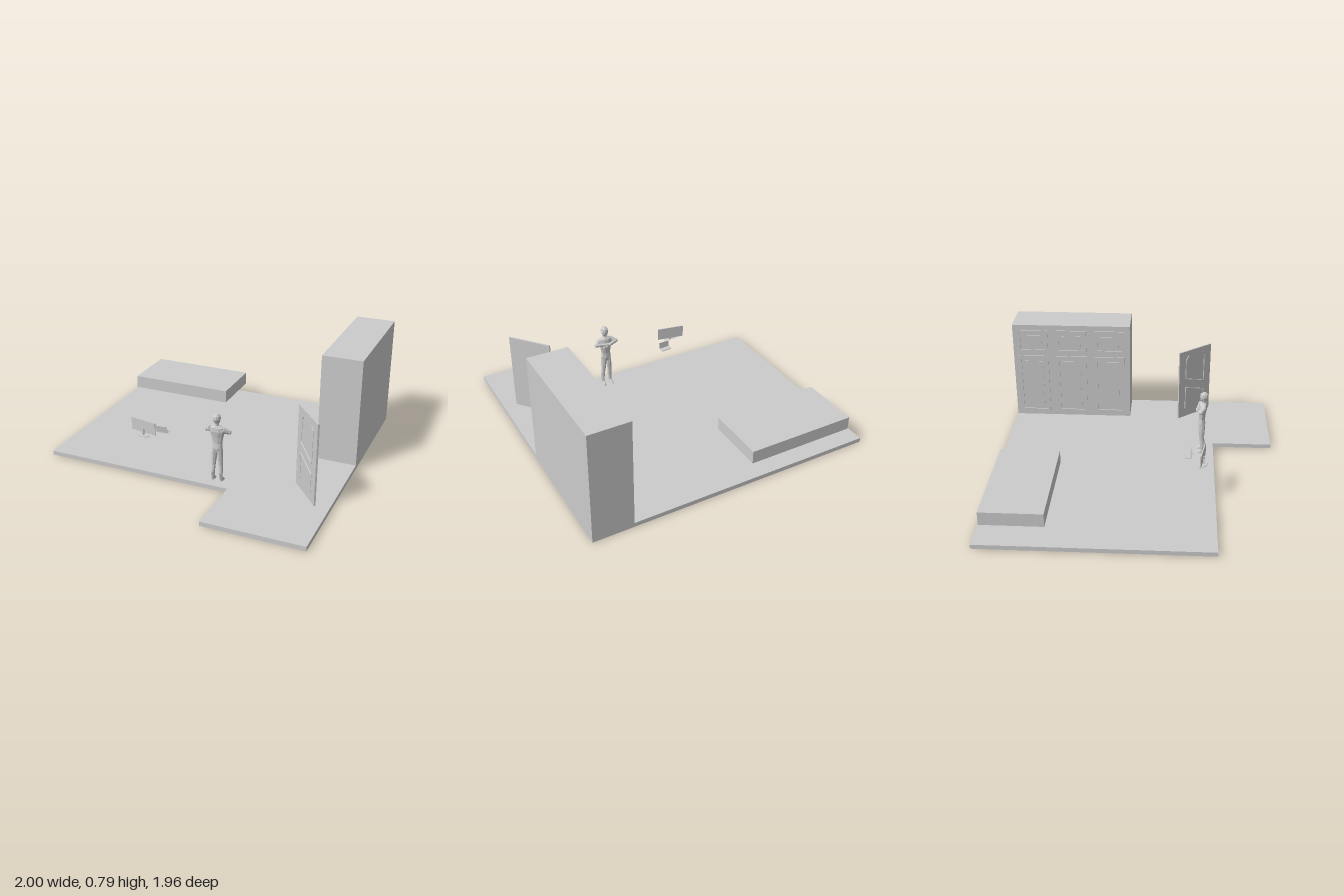
import * as THREE from 'three';

const mat = new THREE.MeshStandardMaterial({ color: 0xcccccc, flatShading: true, side: THREE.DoubleSide });

function add(parent, name, geometry, x = 0, y = 0, z = 0) {
  const mesh = new THREE.Mesh(geometry, mat);
  mesh.name = name;
  mesh.position.set(x, y, z);
  parent.add(mesh);
  return mesh;
}

function group(parent, name, x = 0, y = 0, z = 0, turn = 0) {
  const g = new THREE.Group();
  g.name = name;
  g.position.set(x, y, z);
  g.rotation.y = turn;
  parent.add(g);
  return g;
}

// Box given by its limits on each axis
function block(parent, name, x0, x1, y0, y1, z0, z1) {
  return add(parent, name, new THREE.BoxGeometry(x1 - x0, y1 - y0, z1 - z0),
    (x0 + x1) / 2, (y0 + y1) / 2, (z0 + z1) / 2);
}

// Straight limb or bar from a to b
function limb(parent, name, a, b, ra, rb = ra, sides = 8) {
  const p = new THREE.Vector3(...a), q = new THREE.Vector3(...b);
  const d = q.clone().sub(p);
  const mesh = add(parent, name, new THREE.CylinderGeometry(rb, ra, d.length(), sides));
  mesh.position.copy(p).add(q).multiplyScalar(0.5);
  mesh.quaternion.setFromUnitVectors(new THREE.Vector3(0, 1, 0), d.normalize());
  return mesh;
}

// Closed body through elliptical sections [x, y, z, rx, rz], from bottom to top
function loft(sections, sides = 10) {
  const pos = [], index = [];
  for (const [x, y, z, rx, rz] of sections) {
    for (let i = 0; i < sides; i++) {
      const t = (i / sides) * Math.PI * 2;
      pos.push(x + rx * Math.cos(t), y, z + rz * Math.sin(t));
    }
  }
  for (let j = 0; j < sections.length - 1; j++) {
    for (let i = 0; i < sides; i++) {
      const a = j * sides + i, b = j * sides + (i + 1) % sides;
      index.push(a, a + sides, b, b, a + sides, b + sides);
    }
  }
  const top = (sections.length - 1) * sides;
  for (let i = 1; i < sides - 1; i++) {
    index.push(0, i, i + 1, top, top + i + 1, top + i);
  }
  const g = new THREE.BufferGeometry();
  g.setAttribute('position', new THREE.Float32BufferAttribute(pos, 3));
  g.setIndex(index);
  g.computeVertexNormals();
  return g;
}

// L-shaped slab, open underneath
function buildFloor(root) {
  const floor = group(root, 'floor');
  const h = 0.03;
  const plan = [[-1, -0.98], [-1, 0.55], [0.325, 0.55], [0.325, 0.98], [1, 0.98], [1, -0.98]];
  const shape = new THREE.Shape(plan.map(([x, z]) => new THREE.Vector2(x, -z)));
  add(floor, 'floorTop', new THREE.ShapeGeometry(shape).rotateX(-Math.PI / 2), 0, h, 0);
  plan.forEach(([x, z], i) => {
    const [u, w] = plan[(i + 1) % plan.length];
    const edge = add(floor, 'floorEdge', new THREE.PlaneGeometry(Math.hypot(u - x, w - z), h),
      (x + u) / 2, h / 2, (z + w) / 2);
    edge.rotation.y = -Math.atan2(w - z, u - x);
  });
}

// Wardrobe with three panelled doors on its -x side
function buildWardrobe(root) {
  const wardrobe = group(root, 'wardrobe');
  block(wardrobe, 'wardrobeBody', 0.722, 1, 0.03, 0.785, -0.98, -0.09);
  for (let i = 0; i < 3; i++) {
    const z = -0.83 + i * 0.293, w = 0.115;
    for (const [y0, y1] of [[0.565, 0.745], [0.06, 0.535]]) {
      const frame = new THREE.Shape();
      frame.moveTo(-w, y0).lineTo(w, y0).lineTo(w, y1).lineTo(-w, y1).closePath();
      const hole = new THREE.Path(), b = 0.022;
      hole.moveTo(-w + b, y0 + b).lineTo(-w + b, y1 - b).lineTo(w - b, y1 - b).lineTo(w - b, y0 + b).closePath();
      frame.holes.push(hole);
      const geo = new THREE.ExtrudeGeometry(frame, { depth: 0.008, bevelEnabled: false });
      add(wardrobe, 'panelFrame', geo.rotateY(-Math.PI / 2), 0.722, 0, z);
      block(wardrobe, 'panelField', 0.717, 0.723, y0 + 0.045, y1 - 0.045, z - w + 0.045, z + w - 0.045);
    }
  }
}

// Free-standing door leaf with slanted mouldings on one face
function buildDoor(root) {
  const door = group(root, 'door', 0.805, 0, 0.407, -Math.atan2(0.235, 0.195));
  block(door, 'doorLeaf', -0.155, 0.155, 0.03, 0.587, -0.006, 0.006);
  const bars = [
    [[-0.09, 0.355], [-0.09, 0.515], [-0.065, 0.545]],
    [[-0.09, 0.355], [0.09, 0.295], [0.09, 0.515], [0.065, 0.545]],
    [[-0.09, 0.1], [-0.09, 0.28], [0.09, 0.22], [0.09, 0.085]],
  ];
  for (const line of bars) {
    for (let i = 0; i < line.length - 1; i++) {
      limb(door, 'doorMoulding', [...line[i], 0.006], [...line[i + 1], 0.006], 0.005, 0.005, 6);
    }
  }
}

// Standing figure facing -z with folded arms
function buildPerson(root) {
  const person = group(root, 'person', 0.217, 0, 0.46);
  add(person, 'torso', loft([
    [0, 0.235, 0, 0.022, 0.02], [0, 0.262, 0, 0.038, 0.026], [0, 0.3, 0, 0.034, 0.022],
    [0, 0.345, 0, 0.042, 0.026], [0, 0.385, 0.003, 0.053, 0.03],
    [0, 0.412, 0.005, 0.05, 0.026], [0, 0.427, 0.008, 0.018, 0.016],
  ]));
  add(person, 'neck', loft([[0, 0.42, 0.01, 0.014, 0.014], [0, 0.455, 0.01, 0.013, 0.014]], 8));
  add(person, 'head', loft([
    [0, 0.437, 0.002, 0.01, 0.012], [0, 0.45, 0.006, 0.02, 0.024], [0, 0.472, 0.01, 0.026, 0.031],
    [0, 0.492, 0.01, 0.023, 0.028], [0, 0.505, 0.01, 0.01, 0.013],
  ]));
  for (const s of [-1, 1]) {
    add(person, 'leg', loft([
      [s * 0.028, 0.04, 0.006, 0.01, 0.012], [s * 0.028, 0.09, 0.01, 0.014, 0.017],
      [s * 0.025, 0.14, 0.002, 0.014, 0.016], [s * 0.021, 0.2, 0, 0.019, 0.022],
      [s * 0.018, 0.255, 0, 0.019, 0.024],
    ], 8));
    add(person, 'foot', loft([
      [s * 0.03, 0.03, -0.01, 0.014, 0.03], [s * 0.03, 0.042, -0.006, 0.012, 0.024],
      [s * 0.028, 0.055, 0.006, 0.009, 0.011],
    ], 8));
    const elbow = [s * 0.076, 0.382, -0.012];
    limb(person, 'upperArm', [s * 0.04, 0.4, 0.012], elbow, 0.021, 0.015);
    limb(person, 'forearm', elbow, [-s * 0.015, 0.368 + s * 0.008, -0.036], 0.015, 0.01);
    add(person, 'elbow', new THREE.IcosahedronGeometry(0.016, 1), ...elbow);
    add(person, 'hand', new THREE.IcosahedronGeometry(0.011, 1), -s * 0.024, 0.369 + s * 0.008, -0.036);
  }
}

// Desk monitor, screen facing -z, and a small open laptop
function buildComputers(root) {
  const monitor = group(root, 'monitor', -0.322, 0, 0.457, -0.18);
  block(monitor, 'screen', -0.098, 0.098, 0.268, 0.355, -0.004, 0.004);
  block(monitor, 'stand', -0.008, 0.008, 0.25, 0.3, 0.004, 0.012);
  const base = new THREE.CylinderGeometry(0.05, 0.05, 0.004, 16, 1, false, -Math.PI / 2, Math.PI);
  const foot = add(monitor, 'standBase', base, 0, 0.25, 0.005);
  foot.scale.z = 0.6;

  const laptop = group(root, 'laptop', -0.227, 0, 0.362, 0.06);
  block(laptop, 'keyboard', -0.04, 0.04, 0.248, 0.252, -0.024, 0.02);
  const lid = block(laptop, 'lid', -0.04, 0.04, 0.25, 0.296, 0.019, 0.022);
  lid.rotation.x = 0.12;
}

export function createModel() {
  const root = new THREE.Group();
  root.name = 'room';
  buildFloor(root);
  block(root, 'bed', -0.91, -0.143, 0.117, 0.21, -0.94, -0.525);
  buildWardrobe(root);
  buildDoor(root);
  buildPerson(root);
  buildComputers(root);
  return root;
}
